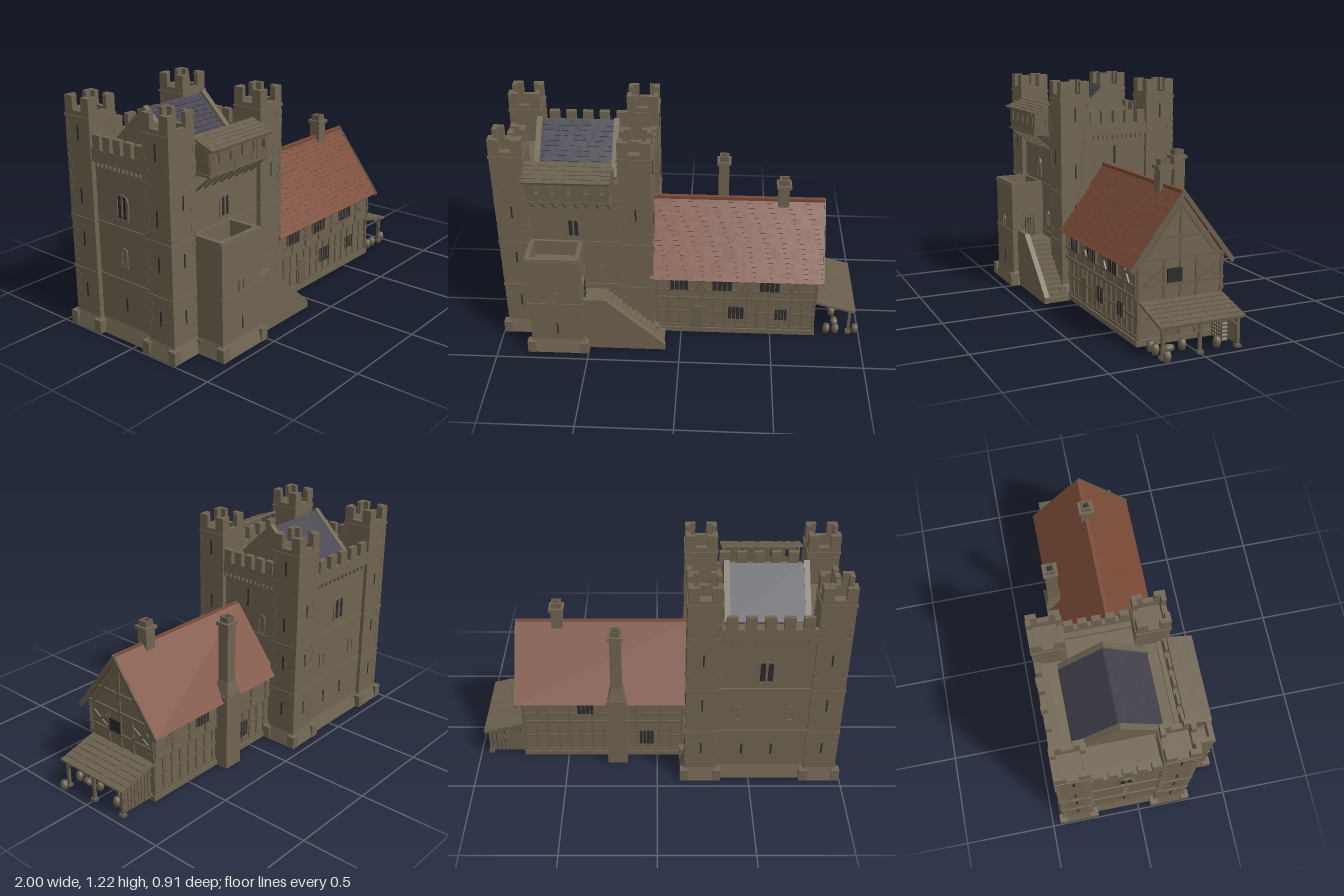
import * as THREE from 'three';
import { mergeGeometries } from 'three/addons/utils/BufferGeometryUtils.js';

const paint = (name, color) => Object.assign(new THREE.MeshStandardMaterial({ color }), { name });
const stone = paint('stone', 0x6f6451), timber = paint('timber', 0x695e4c), shingle = paint('shingle', 0x6a5f4d);
const tile = paint('clay tile', 0x794a36), slate = paint('slate', 0x403f4a), dark = paint('dark opening', 0x2b2b2c);

let seed = 7;
const rnd = () => (seed = (seed * 16807) % 2147483647) / 2147483647;

function add(parent, name, mat, geo) {
  const m = new THREE.Mesh(geo, mat);
  m.name = name;
  parent.add(m);
  return m;
}
const boxGeo = ([x0, x1, y0, y1, z0, z1]) => new THREE.BoxGeometry(x1 - x0, y1 - y0, z1 - z0)
  .translate((x0 + x1) / 2, (y0 + y1) / 2, (z0 + z1) / 2);
// Many boxes, given as [x0, x1, y0, y1, z0, z1], in one mesh
const boxes = (parent, name, mat, list) => add(parent, name, mat, mergeGeometries(list.map(boxGeo)));
// Four walls around a rectangle, open in the middle
const ring = (x0, x1, y0, y1, z0, z1, t) => [[x0, x1, y0, y1, z0, z0 + t], [x0, x1, y0, y1, z1 - t, z1],
  [x0, x0 + t, y0, y1, z0 + t, z1 - t], [x1 - t, x1, y0, y1, z0 + t, z1 - t]];
// Square beam between two points
function beamGeo(a, b, w) {
  const A = new THREE.Vector3(...a), B = new THREE.Vector3(...b);
  const g = new THREE.BoxGeometry(w, w, A.distanceTo(B));
  const m = new THREE.Matrix4().lookAt(B, A, new THREE.Vector3(0.01, 1, 0.02)).setPosition(A.add(B).multiplyScalar(0.5));
  return g.applyMatrix4(m);
}
const beams = (parent, name, mat, list, w) => add(parent, name, mat, mergeGeometries(list.map(([a, b]) => beamGeo(a, b, w))));
// Outline of [z, y] points drawn out along x
function prism(pts, x0, x1) {
  const s = new THREE.Shape(pts.map(([z, y]) => new THREE.Vector2(-z, y)));
  return new THREE.ExtrudeGeometry(s, { depth: x1 - x0, bevelEnabled: false }).rotateY(Math.PI / 2).translate(x0, 0, 0);
}
// Four sloping sides of a spreading foot, open above and below
function battered(x0, x1, y1, z0, z1, out) {
  const g = boxGeo([x0, x1, 0, y1, z0, z1]), p = g.attributes.position, index = [...g.index.array];
  const cx = (x0 + x1) / 2, cz = (z0 + z1) / 2;
  for (let i = 0; i < p.count; i++) if (p.getY(i) < 0.001) {
    p.setX(i, p.getX(i) + Math.sign(p.getX(i) - cx) * out);
    p.setZ(i, p.getZ(i) + Math.sign(p.getZ(i) - cz) * out);
  }
  g.setIndex([...index.slice(0, 12), ...index.slice(24)]);
  g.clearGroups();
  g.computeVertexNormals();
  return g;
}
// Upright corner blocks on a spreading foot
const cornerBlocks = (x0, x1, z0, z1, out, n) => [[x0 - out, x0 - out + n], [x1 + out - n, x1 + out]].flatMap(X =>
  [[z0 - out, z0 - out + n], [z1 + out - n, z1 + out]].map(Z => [...X, 0, 0.07, ...Z]));
// Tiled roof slope from top [z, y] to bottom [z, y]
function slope(parent, name, mat, x0, x1, top, bot, rows, cols) {
  const len = Math.hypot(top[0] - bot[0], top[1] - bot[1]), h = len / rows, w = (x1 - x0) / cols;
  const list = [new THREE.BoxGeometry(x1 - x0, len, 0.008).translate((x0 + x1) / 2, len / 2, -0.006)];
  for (let r = 0; r < rows; r++) for (let c = 0; c < cols; c++)
    list.push(new THREE.BoxGeometry(w, h * 1.1, 0.005).rotateX(-0.04 - 0.14 * rnd())
      .translate(x0 + (c + 0.5) * w, (r + 0.5) * h, 0));
  const up = new THREE.Vector3(0, top[1] - bot[1], top[0] - bot[0]).normalize();
  const X = new THREE.Vector3(1, 0, 0);
  const m = new THREE.Matrix4().makeBasis(X, up, new THREE.Vector3().crossVectors(X, up)).setPosition(0, bot[1], bot[0]);
  return add(parent, name, mat, mergeGeometries(list).applyMatrix4(m));
}
const arch = (C, w, h, y = 0, x = 0) => {
  const s = new C();
  s.moveTo(x - w / 2, y).lineTo(x + w / 2, y).lineTo(x + w / 2, y + h - w / 2);
  s.absarc(x, y + h - w / 2, w / 2, 0, Math.PI);
  return s.lineTo(x - w / 2, y);
};
// Arched opening with one or two lights; turn is in quarter turns from the front
function archWindow(parent, name, pos, turn, w, h, fill, lights = 1) {
  const g = new THREE.Group(), frame = arch(THREE.Shape, w + 0.02, h + 0.015, -0.006);
  const lw = w / lights * (lights > 1 ? 0.7 : 1);
  for (let i = 0; i < lights; i++) {
    const x = (i - (lights - 1) / 2) * w / lights;
    frame.holes.push(arch(THREE.Path, lw, h, 0, x));
    add(g, 'infill', fill, new THREE.ShapeGeometry(arch(THREE.Shape, lw, h, 0, x), 6).translate(0, 0, 0.002));
  }
  add(g, 'surround', stone, new THREE.ExtrudeGeometry(frame, { depth: 0.007, bevelEnabled: false, curveSegments: 6 }));
  g.name = name;
  g.position.set(...pos);
  g.rotation.y = turn * Math.PI / 2;
  parent.add(g);
}

function buildKeep(root) {
  const g = new THREE.Group();
  g.name = 'keep';
  root.add(g);
  // Hollow wall shell, deck, string courses and sloped foot
  boxes(g, 'keepWalls', stone, [...ring(-0.945, -0.175, 0, 0.95, -0.41, 0.24, 0.04), [-0.94, -0.18, 0.9, 0.93, -0.4, 0.23]]);
  boxes(g, 'stringCourses', stone, [0.32, 0.6].flatMap(y => ring(-0.951, -0.169, y - 0.007, y + 0.007, -0.416, 0.246, 0.02)));
  add(g, 'wallFoot', stone, battered(-0.945, -0.175, 0.08, -0.41, 0.24, 0.022));

  // Parapet on corbels, with merlons
  const merlons = [], corbels = [];
  for (let i = 0; i < 5; i++) {
    const x = -0.75 + i * 0.095, z = -0.225 + i * 0.072;
    for (const s of [-0.43, 0.225]) merlons.push([x - 0.028, x + 0.028, 0.98, 1.05, s, s + 0.03]);
    for (const s of [-0.965, -0.185]) merlons.push([s, s + 0.03, 0.98, 1.05, z - 0.024, z + 0.024]);
  }
  for (let i = 0; i < 12; i++) {
    const x = -0.77 + i * 0.038, z = -0.24 + i * 0.029;
    for (const s of [-0.428, 0.235]) corbels.push([x, x + 0.016, 0.89, 0.925, s, s + 0.02]);
    for (const s of [-0.962, -0.18]) corbels.push([s, s + 0.02, 0.89, 0.925, z, z + 0.013]);
  }
  boxes(g, 'parapet', stone, ring(-0.965, -0.155, 0.915, 0.98, -0.43, 0.255, 0.03));
  boxes(g, 'merlons', stone, merlons);
  boxes(g, 'corbels', stone, corbels);

  // Corner towers
  for (const x0 of [-0.97, -0.32]) for (const z0 of [-0.43, 0.095]) {
    const x1 = x0 + 0.17, z1 = z0 + 0.17, t = new THREE.Group();
    t.name = 'cornerTower';
    g.add(t);
    boxes(t, 'towerShaft', stone, [...ring(x0, x1, 0, 1.15, z0, z1, 0.025), [x0 + 0.01, x1 - 0.01, 1.06, 1.09, z0 + 0.01, z1 - 0.01]]);
    add(t, 'towerFoot', stone, battered(x0 - 0.002, x1 + 0.002, 0.08, z0 - 0.002, z1 + 0.002, 0.022));
    boxes(t, 'footBlocks', stone, cornerBlocks(x0, x1, z0, z1, 0.026, 0.045));
    boxes(t, 'towerBands', stone, [0.32, 0.6, 1.12].flatMap(y => ring(x0 - 0.005, x1 + 0.005, y - 0.007, y + 0.007, z0 - 0.005, z1 + 0.005, 0.02)));
    const tops = [], quoins = [];
    for (const sx of [0, 1]) for (const sz of [0, 1]) {
      const at = (a, e, p, n) => a ? [e[1] - n, e[1] + p] : [e[0] - p, e[0] + n];
      const X = [x0, x1], Z = [z0, z1];
      tops.push([...at(sx, X, 0, 0.055), 1.15, 1.22, ...at(sz, Z, 0, 0.025)], [...at(sx, X, 0, 0.025), 1.15, 1.22, ...at(sz, Z, 0, 0.055)]);
      for (let i = 0; i < 24; i++) {
        const y = 0.1 + i * 0.042, l = i % 2;
        quoins.push([...at(sx, X, 0.0015, l ? 0.032 : 0.016), y, y + 0.03, ...at(sz, Z, 0.0015, l ? 0.016 : 0.032)]);
      }
    }
    boxes(t, 'towerMerlons', stone, tops);
    boxes(t, 'quoins', stone, quoins);
    // Arrow slits on the outward faces
    const cx = x0 + 0.085, cz = z0 + 0.085, fx = x0 < -0.5 ? x0 : x1, fz = z0 < 0 ? z0 : z1, slits = [];
    for (const y of x0 > -0.5 && z0 > 0 ? [0.76] : [0.18, 0.47, 0.76]) slits.push([cx - 0.004, cx + 0.004, y, y + 0.07, fz - 0.002, fz + 0.002]);
    for (const y of [0.17, 0.45, 0.68, 1.0]) slits.push([fx - 0.002, fx + 0.002, y, y + 0.08, cz - 0.005, cz + 0.005]);
    boxes(t, 'arrowSlits', dark, slits);
  }

  // Pitched slate roof between two stone gables
  for (const x of [-0.78, -0.37])
    add(g, 'roofGable', stone, prism([[0.15, 0.92], [0.15, 0.955], [-0.082, 1.18], [-0.315, 0.955], [-0.315, 0.92]], x, x + 0.03));
  slope(g, 'slateRoofFront', slate, -0.75, -0.37, [-0.082, 1.16], [0.14, 0.945], 11, 16);
  slope(g, 'slateRoofBack', slate, -0.75, -0.37, [-0.082, 1.16], [-0.31, 0.945], 11, 16);

  // Openings on every side; the small ones are blind
  archWindow(g, 'frontWindow', [-0.57, 0.64, 0.24], 0, 0.06, 0.1, dark, 2);
  archWindow(g, 'frontLowWindow', [-0.43, 0.37, 0.24], 0, 0.022, 0.07, stone);
  archWindow(g, 'eastWindow', [-0.175, 0.62, -0.17], 1, 0.03, 0.095, stone);
  archWindow(g, 'backWindow', [-0.56, 0.65, -0.41], 2, 0.08, 0.12, dark, 2);
  archWindow(g, 'westWindow', [-0.945, 0.65, -0.08], 3, 0.07, 0.12, dark, 2);
  for (const x of [-0.7, -0.42]) archWindow(g, 'backLowWindow', [x, 0.4, -0.41], 2, 0.025, 0.08, stone);
  archWindow(g, 'westLowWindow', [-0.945, 0.4, -0.08], 3, 0.025, 0.09, stone);
  boxes(g, 'wallSlits', dark, [[-0.177, -0.173, 0.75, 0.85, -0.075, -0.065], [-0.947, -0.943, 0.16, 0.23, -0.085, -0.075],
    [-0.62, -0.61, 0.16, 0.23, -0.412, -0.408], [-0.46, -0.45, 0.16, 0.23, -0.412, -0.408]]);
  // Doorway seen from inside the hollow shell
  boxes(g, 'innerDoorway', dark, [[-0.66, -0.58, 0.02, 0.17, 0.197, 0.201]]);
}

function buildHoarding(root) {
  const g = new THREE.Group(), planks = [], struts = [];
  g.name = 'timberGallery';
  root.add(g);
  // Plank walls with lookout gaps, floor and raking struts
  for (let i = 0; i < 20; i++) {
    const x = -0.78 + i * 0.021, gap = i % 4 === 2;
    planks.push([x, x + 0.0205, 0.91, gap ? 0.96 : 1.045, 0.333, 0.343]);
    if (gap) planks.push([x, x + 0.0205, 1.01, 1.045, 0.333, 0.343]);
  }
  for (let i = 0; i < 4; i++) for (const x of [-0.785, -0.37])
    planks.push([x, x + 0.01, 0.91, 1.055, 0.258 + i * 0.02, 0.2775 + i * 0.02]);
  planks.push([-0.79, -0.355, 0.905, 0.917, 0.24, 0.348]);
  boxes(g, 'galleryPlanks', timber, planks);
  for (let i = 0; i < 8; i++) struts.push([[-0.77 + i * 0.057, 0.908, 0.34], [-0.77 + i * 0.057, 0.82, 0.243]]);
  beams(g, 'galleryStruts', timber, struts, 0.009);
  slope(g, 'galleryRoof', shingle, -0.795, -0.35, [0.24, 1.088], [0.368, 1.038], 5, 18);
}

function buildForebuilding(root) {
  const g = new THREE.Group(), steps = [];
  g.name = 'forebuilding';
  root.add(g);
  // Hollow entrance block with a plain parapet
  boxes(g, 'entranceBlock', stone, [...ring(-0.808, -0.522, 0, 0.61, 0.23, 0.43, 0.025), [-0.8, -0.53, 0.49, 0.52, 0.23, 0.42]]);
  boxes(g, 'entranceBands', stone, [0.32, 0.595].map(y => [-0.813, -0.517, y - 0.007, y + 0.005, 0.415, 0.435]));
  add(g, 'entranceFoot', stone, battered(-0.81, -0.52, 0.08, 0.24, 0.432, 0.021));
  boxes(g, 'footBlocks', stone, [[-0.833, -0.788, 0, 0.07, 0.41, 0.455], [-0.543, -0.498, 0, 0.07, 0.41, 0.455]]);
  archWindow(g, 'entranceDoor', [-0.522, 0.29, 0.328], 1, 0.065, 0.14, timber);
  boxes(g, 'doorGaps', dark, [0.304, 0.32, 0.336, 0.352].map(z => [-0.521, -0.518, 0.29, 0.4, z - 0.0015, z + 0.0015]));
  archWindow(g, 'entranceWindow', [-0.67, 0.33, 0.43], 0, 0.025, 0.06, stone);
  boxes(g, 'entranceSlit', dark, [[-0.667, -0.659, 0.12, 0.19, 0.428, 0.432]]);
  // Landing, open steps and raking side wall
  for (let i = 0; i < 12; i++) {
    const x = -0.4 + i * 0.026, y = 0.275 - i * 0.0225;
    steps.push([x, x + 0.026, Math.max(0, y - 0.03), y, 0.25, 0.375]);
  }
  boxes(g, 'stairs', stone, [[-0.53, -0.4, 0.25, 0.29, 0.23, 0.38], ...steps]);
  const s = new THREE.Shape([[-0.53, 0], [-0.08, 0], [-0.08, 0.035], [-0.4, 0.33], [-0.53, 0.33]].map(p => new THREE.Vector2(...p)));
  add(g, 'stairWall', stone, new THREE.ExtrudeGeometry(s, { depth: 0.03, bevelEnabled: false }).translate(0, 0, 0.37));
}

function buildHall(root) {
  const g = new THREE.Group();
  g.name = 'hall';
  root.add(g);
  boxes(g, 'hallFooting', stone, [[-0.18, 0.75, 0, 0.03, -0.24, 0.24]]);
  boxes(g, 'groundFloor', stone, [[-0.18, 0.735, 0.03, 0.25, -0.227, 0.225]]);
  add(g, 'upperFloor', stone, prism([[0.237, 0.24], [0.237, 0.42], [0, 0.735], [-0.237, 0.42], [-0.237, 0.24]], -0.18, 0.742));
  slope(g, 'tileRoofFront', tile, -0.165, 0.77, [0, 0.752], [0.278, 0.39], 17, 36);
  slope(g, 'tileRoofBack', tile, -0.165, 0.77, [0, 0.752], [-0.282, 0.39], 17, 36);
  boxes(g, 'ridgeTiles', tile, [[-0.165, 0.77, 0.742, 0.76, -0.011, 0.011]]);
  add(g, 'bargeboards', timber, prism([[0.287, 0.392], [0, 0.764], [-0.291, 0.392], [-0.276, 0.372], [0, 0.73], [0.272, 0.372]], 0.768, 0.775));

  // Timber frame on the long sides and the end
  const frame = [], braces = [];
  for (const s of [-1, 1]) {
    const lo = s > 0 ? [0.22, 0.232] : [-0.234, -0.22], hi = s > 0 ? [0.232, 0.245] : [-0.245, -0.232];
    for (let i = 0; i <= 14; i++) {
      const x = -0.14 + i * 0.062;
      frame.push([x, x + 0.012, 0.03, 0.24, ...lo]);
      if (i % 2 === 0) frame.push([x, x + 0.012, 0.25, 0.41, ...hi]);
    }
    for (const [y, e] of [[0.03, lo], [0.13, lo], [0.235, hi], [0.29, hi], [0.385, hi]]) frame.push([-0.15, 0.747, y, y + 0.014, ...e]);
    for (const x of [0.08, 0.33, 0.6]) braces.push([[x, 0.3, s * 0.238], [x + 0.06, 0.385, s * 0.238]], [[x, 0.385, s * 0.238], [x + 0.06, 0.3, s * 0.238]]);
    // Gable rafters and crossed braces
    braces.push([[0.745, 0.69, 0], [0.745, 0.43, s * 0.2]]);
    braces.push([[0.744, 0.31, s * 0.1], [0.744, 0.375, s * 0.2]], [[0.744, 0.375, s * 0.1], [0.744, 0.31, s * 0.2]]);
  }
  for (const y of [0.29, 0.42, 0.525]) { const w = y > 0.5 ? 0.155 : 0.24; frame.push([0.74, 0.752, y, y + 0.014, -w, w]); }
  for (const z of [-0.23, -0.09, 0, 0.09, 0.23]) frame.push([0.732, 0.745, 0.03, 0.25, z - 0.007, z + 0.007], [0.738, 0.75, 0.24, 0.42, z - 0.007, z + 0.007]);
  frame.push([0.738, 0.75, 0.43, 0.73, -0.007, 0.007], [0.732, 0.745, 0.13, 0.144, -0.22, 0.22]);
  boxes(g, 'timberFrame', timber, frame);
  beams(g, 'timberBraces', timber, braces, 0.014);

  // Leaded windows and doors, with mullions
  const panes = [], bars = [];
  for (const [a, b, y0, y1, z] of [[-0.06, 0.04, 0.305, 0.375, 0.246], [0.17, 0.28, 0.305, 0.375, 0.246], [0.43, 0.54, 0.305, 0.375, 0.246],
    [0.26, 0.35, 0.1, 0.18, 0.233], [0.52, 0.59, 0.1, 0.17, 0.233], [0.35, 0.44, 0.305, 0.375, -0.246], [0.02, 0.1, 0.08, 0.17, -0.235]]) {
    panes.push([a, b, y0, y1, z - 0.004, z + 0.004]);
    for (let i = 0; i < 5; i++) { const x = a + (b - a) * i / 4; bars.push([x - 0.002, x + 0.002, y0, y1, z - 0.006, z + 0.006]); }
  }
  panes.push([0.746, 0.754, 0.305, 0.375, -0.005, 0.075]);
  boxes(g, 'windowPanes', dark, panes);
  boxes(g, 'windowBars', timber, bars);
  boxes(g, 'hallDoors', timber, [[0.06, 0.12, 0.03, 0.18, 0.22, 0.236], [0.73, 0.748, 0.03, 0.16, 0.02, 0.08]]);

  // Chimneys: a stack on the back wall and one through the ridge
  boxes(g, 'chimneyBreast', stone, [[0.165, 0.275, 0, 0.43, -0.31, -0.22]]);
  add(g, 'chimneyShoulder', stone, battered(0.19, 0.25, 0.08, -0.292, -0.228, 0.018).translate(0, 0.43, 0));
  for (const [x, z, y0, y1] of [[0.22, -0.26, 0.48, 0.84], [0.545, -0.002, 0.68, 0.85]]) {
    boxes(g, 'chimneyStack', stone, [[x - 0.03, x + 0.03, y0, y1, z - 0.032, z + 0.032], [x - 0.04, x + 0.04, y1 - 0.018, y1, z - 0.041, z + 0.041]]);
    boxes(g, 'chimneyPot', shingle, ring(x - 0.026, x + 0.026, y1, y1 + 0.03, z - 0.026, z + 0.026, 0.01));
    boxes(g, 'flue', dark, [[x - 0.016, x + 0.016, y1, y1 + 0.01, z - 0.016, z + 0.016]]);
  }
}

function buildPorch(root) {
  const g = new THREE.Group(), posts = [], braces = [], planks = [];
  g.name = 'porch';
  root.add(g);
  const roof = slope(g, 'porchRoof', shingle, -0.225, 0.237, [0.742, 0.222], [0.968, 0.162], 6, 18);
  roof.rotation.y = Math.PI / 2;
  for (const z of [-0.21, 0, 0.2]) {
    posts.push([0.935, 0.95, 0, 0.16, z - 0.008, z + 0.008], [0.928, 0.957, 0, 0.015, z - 0.015, z + 0.015]);
    braces.push([[0.945, 0.11, z], [0.945, 0.155, z + (z > 0.1 ? -0.05 : 0.05)]], [[0.75, 0.205, z], [0.955, 0.152, z]]);
  }
  posts.push([0.935, 0.95, 0.145, 0.157, -0.225, 0.215]);
  boxes(g, 'porchPosts', timber, posts);
  beams(g, 'porchBraces', timber, braces, 0.011);
  // Plank screen along the back
  for (let i = 0; i < 8; i++) { const x = 0.75 + i * 0.023; planks.push([x, x + 0.019, 0.015, 0.2 - i * 0.006, -0.214, -0.206]); }
  boxes(g, 'porchScreen', timber, planks);
  // Barrels and a stack of logs
  const barrel = new THREE.LatheGeometry([[0, 0], [0.016, 0], [0.021, 0.025], [0.016, 0.05], [0, 0.05]].map(p => new THREE.Vector2(...p)), 12);
  for (const [x, z] of [[0.98, 0.195], [0.87, 0.2], [0.82, 0.2], [0.86, 0.05], [0.9, -0.12]]) add(g, 'barrel', timber, barrel).position.set(x, 0, z);
  const lying = add(g, 'lyingBarrel', timber, barrel);
  lying.position.set(0.87, 0.021, 0.105);
  lying.rotation.x = Math.PI / 2;
  const logs = [];
  for (let r = 0; r < 6; r++) for (let i = 0; i < 5; i++)
    logs.push(new THREE.CylinderGeometry(0.011, 0.011, 0.03, 6).rotateX(Math.PI / 2).translate(0.765 + i * 0.022, 0.012 + r * 0.02, -0.187));
  add(g, 'logStack', shingle, mergeGeometries(logs));
}

export function createModel() {
  const root = new THREE.Group();
  root.name = 'castleKeepWithHall';
  for (const build of [buildKeep, buildHoarding, buildForebuilding, buildHall, buildPorch]) build(root);
  return root;
}
